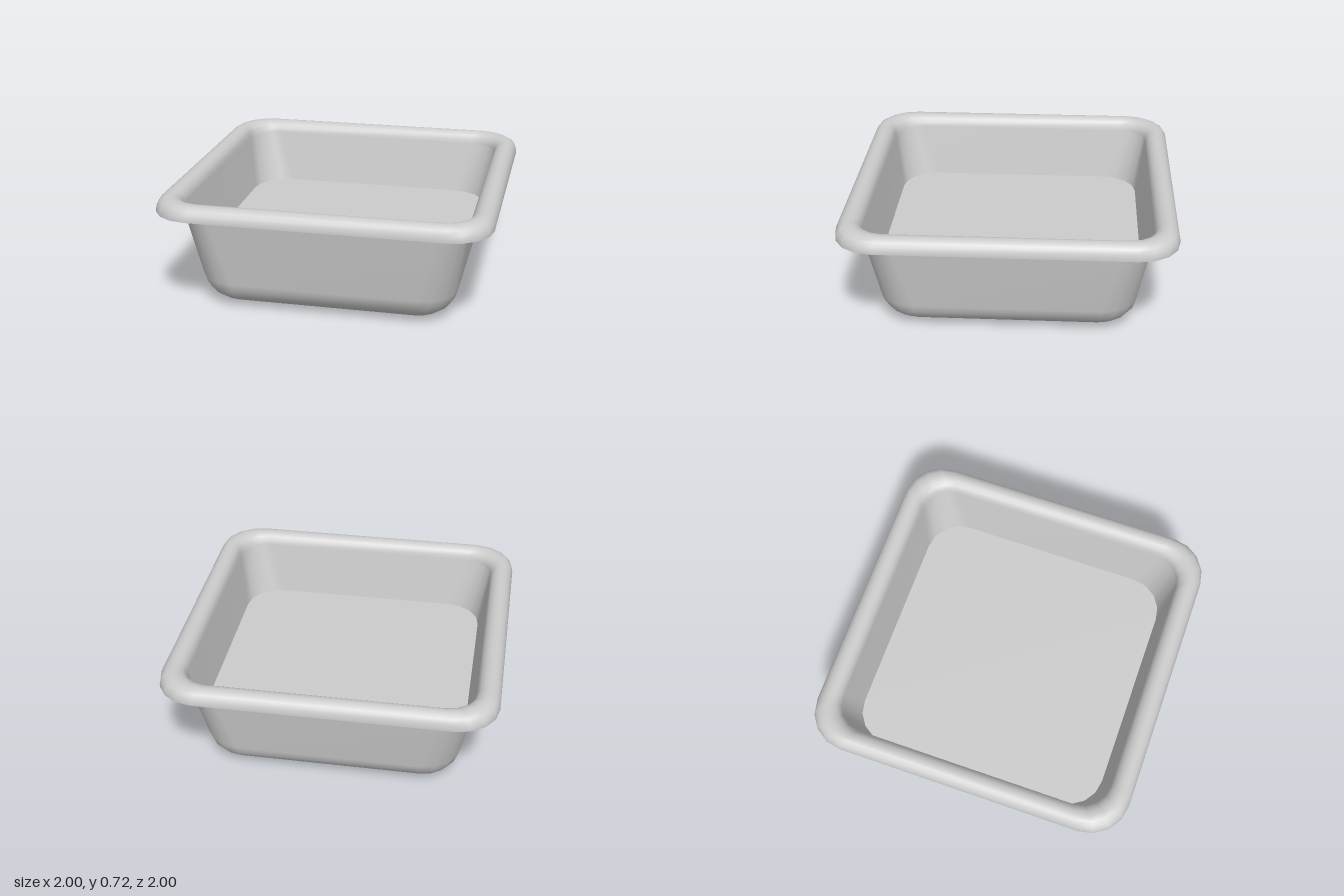
import * as THREE from 'three';

const STEPS = 4; // segments per rounded corner

// Skins a stack of rounded squares: each ring is [half width, corner radius, y]
function squareLoft(rings) {
  const positions = [], index = [], n = 4 * (STEPS + 1);
  for (const [half, r, y] of rings) {
    for (let c = 0; c < 4; c++) {
      const mid = (c + 0.5) * Math.PI / 2;
      const cx = Math.sign(Math.cos(mid)) * (half - r);
      const cz = -Math.sign(Math.sin(mid)) * (half - r);
      for (let k = 0; k <= STEPS; k++) {
        const a = (c + k / STEPS) * Math.PI / 2;
        positions.push(cx + r * Math.cos(a), y, cz - r * Math.sin(a));
      }
    }
  }
  for (let i = 0; i < rings.length - 1; i++) {
    for (let j = 0; j < n; j++) {
      const a = i * n + j, b = i * n + (j + 1) % n;
      index.push(a, b, b + n, a, b + n, a + n);
    }
  }
  const g = new THREE.BufferGeometry();
  g.setAttribute('position', new THREE.Float32BufferAttribute(positions, 3));
  g.setIndex(index);
  g.computeVertexNormals();
  return g;
}

// Half-oval arch of rings from the outer edge of the rim to its inner edge
function arch(outer, inner, height) {
  const rings = [];
  for (let k = 0; k <= 8; k++) {
    const a = k / 8 * Math.PI, t = (1 - Math.cos(a)) / 2;
    rings.push([outer + (inner - outer) * t, 0.245 - 0.065 * t, 0.65 + height * Math.sin(a)]);
  }
  return rings;
}

export function createModel() {
  const model = new THREE.Group();
  model.name = 'basin';
  const grey = new THREE.MeshStandardMaterial({ color: 0xcccccc, side: THREE.DoubleSide });
  grey.name = 'grey';
  const add = (name, rings) => {
    const mesh = new THREE.Mesh(squareLoft(rings), grey);
    mesh.name = name;
    model.add(mesh);
  };

  // Tapered outer wall flowing out of a rounded foot and a flat underside
  const body = [[0, 0, 0], [0.53, 0.02, 0]];
  for (let k = 0; k <= 5; k++) {
    const a = k / 5 * 1.428;
    body.push([0.55 + 0.238 * Math.sin(a), 0.03 + 0.195 * Math.sin(a), 0.2 * (1 - Math.cos(a))]);
  }
  body.push([0.866, 0.18, 0.65]);
  add('body', body);

  // Inner wall and raised floor
  add('innerWall', [[0.858, 0.18, 0.65], [0.8, 0.22, 0.318]]);
  add('floor', [[0.8, 0.22, 0.318], [0, 0, 0.318]]);

  // Rolled rim: top skin, hollow underside and the narrow lip joining them
  add('rimTop', [[1, 0.245, 0.635], ...arch(1, 0.858, 0.073)]);
  add('rimUnderside', [...arch(0.99, 0.866, 0.064).reverse(), [0.99, 0.245, 0.635]]);
  add('rimLip', [[0.99, 0.245, 0.635], [1, 0.245, 0.635]]);

  return model;
}
